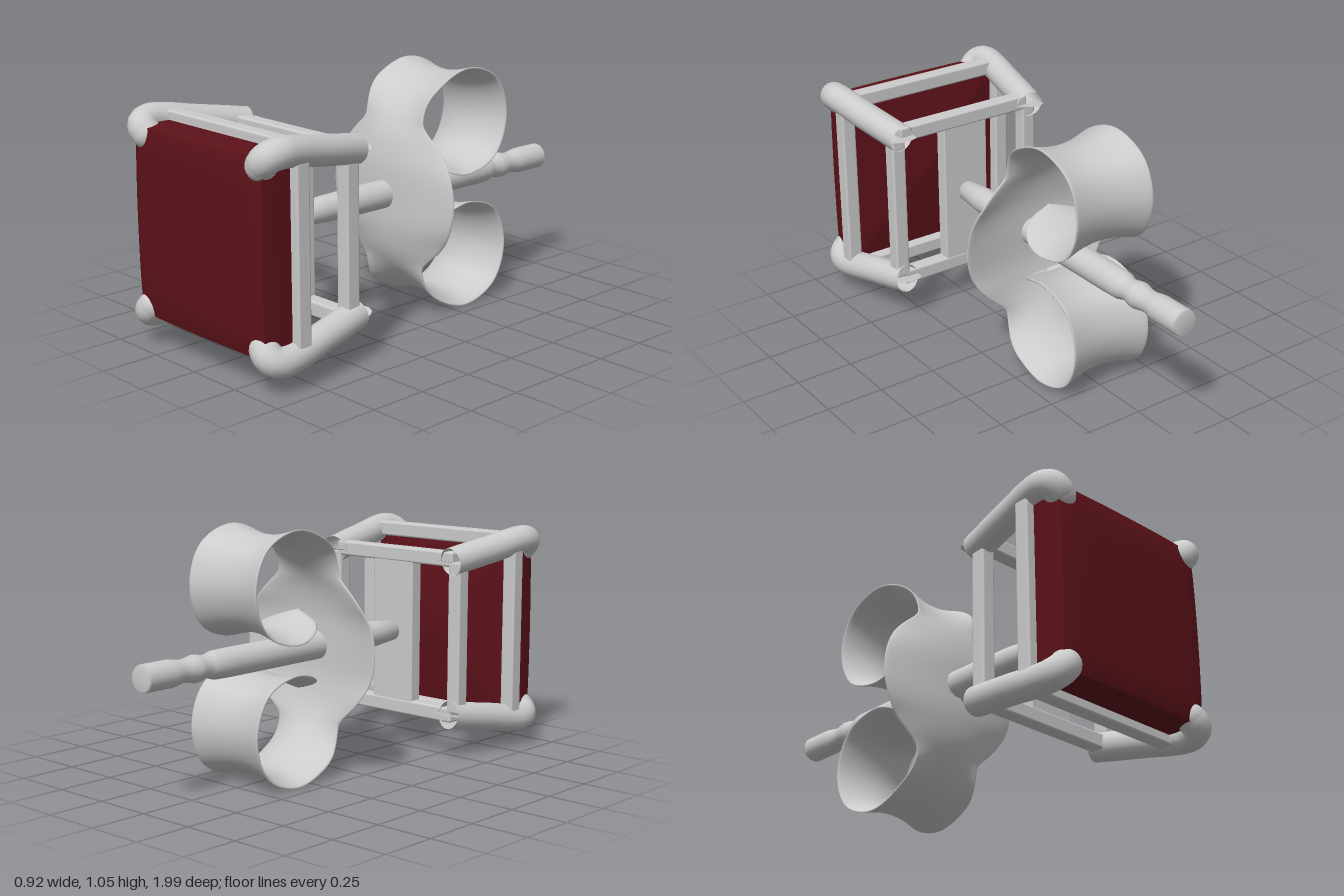
import * as THREE from 'three';
import { RoundedBoxGeometry } from 'three/addons/geometries/RoundedBoxGeometry.js';

const CY = 0.522; // height of the central axis
const metal = new THREE.MeshStandardMaterial({ color: 0xcccccc, side: THREE.DoubleSide });
const red = new THREE.MeshStandardMaterial({ color: 0x5c1219 });
const smooth = THREE.MathUtils.smoothstep;

function add(parent, name, geometry, material = metal, x = 0, y = 0, z = 0) {
  const mesh = new THREE.Mesh(geometry, material);
  mesh.name = name;
  mesh.position.set(x, y, z);
  parent.add(mesh);
  return mesh;
}

// Square cut stone: domed front, softened rim, shallow pointed back
function gemGeometry() {
  const g = new THREE.BoxGeometry(2, 2, 2, 24, 24, 4);
  const p = g.attributes.position;
  for (let i = 0; i < p.count; i++) {
    const x = p.getX(i), y = p.getY(i), t = (p.getZ(i) + 1) / 2;
    const m = Math.max(Math.abs(x), Math.abs(y));
    const dome = 0.985 - 0.008 * (x * x + y * y) - 0.012 * (x ** 10 + y ** 10);
    const back = 0.77 + 0.05 * m;
    const s = 0.397 * (1 - 0.025 * t ** 4);
    p.setXYZ(i, x * s, y * s, back + (dome - back) * t);
  }
  g.computeVertexNormals();
  return g;
}

// Four bars forming a square frame
function frame(parent, name, offset, length, z) {
  for (const s of [-1, 1]) {
    add(parent, name + 'Horizontal', new RoundedBoxGeometry(length, 0.065, 0.065, 2, 0.01), metal, 0, s * offset, z);
    add(parent, name + 'Vertical', new RoundedBoxGeometry(0.065, length, 0.065, 2, 0.01), metal, s * offset, 0, z);
  }
}

// Claw leaning outward and hooking over a corner of the stone
function prong(parent, sx, sy) {
  const r = 0.061;
  const pts = [[0.333, 0.45], [0.352, 0.56], [0.373, 0.69], [0.391, 0.81], [0.397, 0.88], [0.388, 0.92], [0.37, 0.934], [0.35, 0.93]]
    .map(([o, z]) => new THREE.Vector3(sx * o, sy * (o + (z > 0.7 ? 0.004 : 0)), z));
  const group = new THREE.Group();
  group.name = 'prong';
  parent.add(group);
  add(group, 'prongShaft', new THREE.TubeGeometry(new THREE.CatmullRomCurve3(pts), 40, r, 20));
  const tip = pts[pts.length - 1];
  add(group, 'prongTip', new THREE.SphereGeometry(r, 20, 14), metal, tip.x, tip.y, tip.z);
  const cap = add(group, 'prongEnd', new THREE.CircleGeometry(r, 20), metal, pts[0].x, pts[0].y, pts[0].z);
  cap.lookAt(pts[0].clone().multiplyScalar(2).sub(pts[1]));
}

// Ribbon swept from one curled end, across the oval plate, to the other
function clutchGeometry() {
  const half = [[0.15, -0.025], [0.27, -0.055], [0.36, -0.11], [0.44, -0.2], [0.483, -0.34], [0.425, -0.485],
    [0.288, -0.533], [0.15, -0.48], [0.1, -0.34], [0.117, -0.23], [0.16, -0.135]];
  const path = [...half.map(([v, z]) => [-v, z]).reverse(), [0, -0.02], ...half]
    .map(([v, z]) => new THREE.Vector3(0, v, z));
  const curve = new THREE.CatmullRomCurve3(path, false, 'centripetal');
  curve.arcLengthDivisions = 800;
  const L = curve.getLength() / 2, rows = 200, n = 20, ring = 2 * n;
  const pos = [], idx = [];
  for (let i = 0; i <= rows; i++) {
    const a = i / rows, d = Math.abs(a - 0.5) * 2 * L;
    const c = curve.getPointAt(a), t = curve.getTangentAt(a);
    const oval = 0.36 * Math.sqrt(Math.max(0, 1 - (d / 0.34) ** 2));
    const end = Math.sqrt(Math.max(0.0004, 1 - Math.max(0, (d - L + 0.18) / 0.18) ** 2));
    const curl = (0.17 + 0.02 * smooth(d, 0.35, 0.5)) * end;
    const w = (oval ** 6 + curl ** 6) ** (1 / 6);
    const flare = -0.05 + 0.089 * smooth(d, 0.18, 0.45) - 0.02 * smooth(d, L - 0.25, L);
    for (let j = 0; j < ring; j++) {
      const ang = (j / ring) * Math.PI * 2, u = Math.cos(ang);
      const thick = 0.009 * Math.sign(Math.sin(ang)) * Math.sqrt(Math.abs(Math.sin(ang)));
      const off = flare * u * u + (j % n === 0 ? 0 : thick);
      pos.push(w * u, c.y - t.z * off, c.z + t.y * off);
      if (i < rows) {
        const k = i * ring + j, m = i * ring + (j + 1) % ring;
        idx.push(k, k + ring, m, m, k + ring, m + ring);
      }
    }
  }
  const g = new THREE.BufferGeometry();
  g.setAttribute('position', new THREE.Float32BufferAttribute(pos, 3));
  // Wind the faces outward
  for (let i = 0; i < idx.length; i += 3) [idx[i + 1], idx[i + 2]] = [idx[i + 2], idx[i + 1]];
  g.setIndex(idx);
  g.computeVertexNormals();
  return g;
}

export function createModel() {
  const model = new THREE.Group();
  model.name = 'studEarring';
  model.position.y = CY;

  // Setting and stone
  const setting = new THREE.Group();
  setting.name = 'setting';
  model.add(setting);
  add(setting, 'gemstone', gemGeometry(), red);
  frame(setting, 'frontRail', 0.404, 0.74, 0.802);
  frame(setting, 'backRail', 0.34, 0.66, 0.497);
  add(setting, 'backPlate', new RoundedBoxGeometry(0.22, 0.66, 0.06, 2, 0.006), metal, 0, 0, 0.497);
  for (const sx of [-1, 1]) for (const sy of [-1, 1]) prong(setting, sx, sy);

  // Post with two locking grooves near its free end
  const profile = [[0, -1], [0.05, -1], [0.056, -0.99], [0.056, -0.86], [0.052, -0.83], [0.046, -0.8], [0.048, -0.77], [0.056, -0.735],
    [0.054, -0.71], [0.046, -0.68], [0.05, -0.655], [0.058, -0.63], [0.06, -0.55], [0.06, 0.1], [0.056, 0.33], [0.044, 0.46], [0, 0.47]]
    .map(([r, z]) => new THREE.Vector2(r, z));
  add(model, 'post', new THREE.LatheGeometry(profile, 32)).rotation.x = Math.PI / 2;

  // Butterfly back
  add(model, 'butterflyClutch', clutchGeometry());

  const root = new THREE.Group();
  root.name = 'earring';
  root.add(model);
  return root;
}
